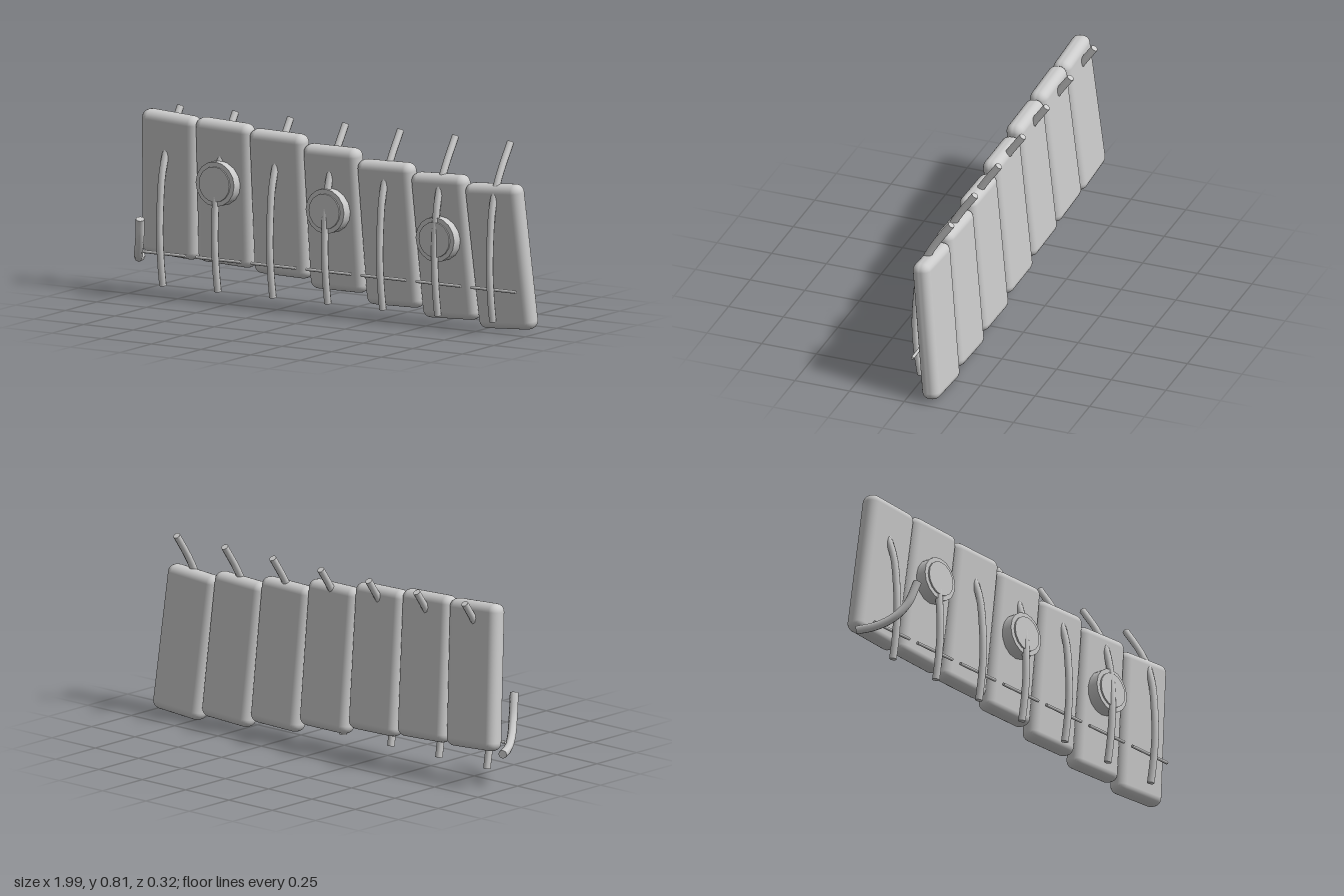
import * as THREE from 'three';
import { RoundedBoxGeometry } from 'three/addons/geometries/RoundedBoxGeometry.js';

const material = new THREE.MeshStandardMaterial({ color: 0xcccccc });

function add(parent, name, geometry, x = 0, y = 0, z = 0) {
  const mesh = new THREE.Mesh(geometry, material);
  mesh.name = name;
  mesh.position.set(x, y, z);
  parent.add(mesh);
  return mesh;
}

// A bent rod along a smooth path, closed at both ends
function bentRod(name, points, radius, sides = 8) {
  const rod = new THREE.Group();
  rod.name = name;
  const curve = new THREE.CatmullRomCurve3(points.map((p) => new THREE.Vector3(...p)));
  add(rod, name + 'Shaft', new THREE.TubeGeometry(curve, 24, radius, sides));
  // Share the tube's own end frames so the caps line up with its sides
  const frames = curve.computeFrenetFrames(24);
  for (const [t, i, sign] of [[0, 0, -1], [1, 24, 1]]) {
    const cap = add(rod, name + 'Cap', new THREE.CircleGeometry(radius, sides));
    const out = frames.tangents[i].clone().multiplyScalar(sign);
    const across = frames.normals[i];
    cap.quaternion.setFromRotationMatrix(
      new THREE.Matrix4().makeBasis(across, out.clone().cross(across), out));
    cap.position.copy(curve.getPointAt(t));
  }
  return rod;
}

export function createModel() {
  const model = new THREE.Group();
  model.name = 'plankRow';

  const heights = [0.482, 0.472, 0.45, 0.413, 0.373, 0.345, 0.327];
  const discs = { 1: 0.52, 3: 0.455, 5: 0.385 };
  const plank = new RoundedBoxGeometry(0.277, 0.635, 0.083, 3, 0.036);

  heights.forEach((y, i) => {
    const k = i - 3;
    const x = k * 0.277;

    // Leaning planks, fanned about the middle one
    const board = add(model, 'plank', plank, x, y, -0.08);
    board.rotation.set(0.1, 0, k * 0.02);

    // Curved rib in front of the plank, passing through to the back at the top
    model.add(bentRod('rib', [
      [x, 0.054, -0.009], [x, 0.15, 0.006], [x, 0.27, 0.016], [x, 0.4, 0.012],
      [x, 0.53, -0.003], [x, 0.63, -0.037], [x, 0.7, -0.075], [x, 0.808, -0.149],
    ], 0.016));

    // Thin cross wire
    const wire = add(model, 'crossWire', new THREE.CylinderGeometry(0.007, 0.007, 0.225, 8), x, 0.19, -0.015);
    wire.rotation.z = Math.PI / 2;

    // Round boss with a slightly raised face
    if (discs[i]) {
      const rim = add(model, 'discRim', new THREE.CylinderGeometry(0.097, 0.097, 0.06, 16), x, discs[i], -0.015);
      const face = add(model, 'discFace', new THREE.CylinderGeometry(0.077, 0.077, 0.02, 16), x, discs[i], 0.012);
      rim.rotation.x = face.rotation.x = Math.PI / 2;
    }
  });

  // Hook curling forward from the lower corner
  model.add(bentRod('hook', [
    [-0.985, 0.157, -0.078], [-0.95, 0.165, -0.005], [-0.91, 0.198, 0.06],
    [-0.873, 0.262, 0.11], [-0.848, 0.362, 0.145],
  ], 0.019));

  return model;
}
